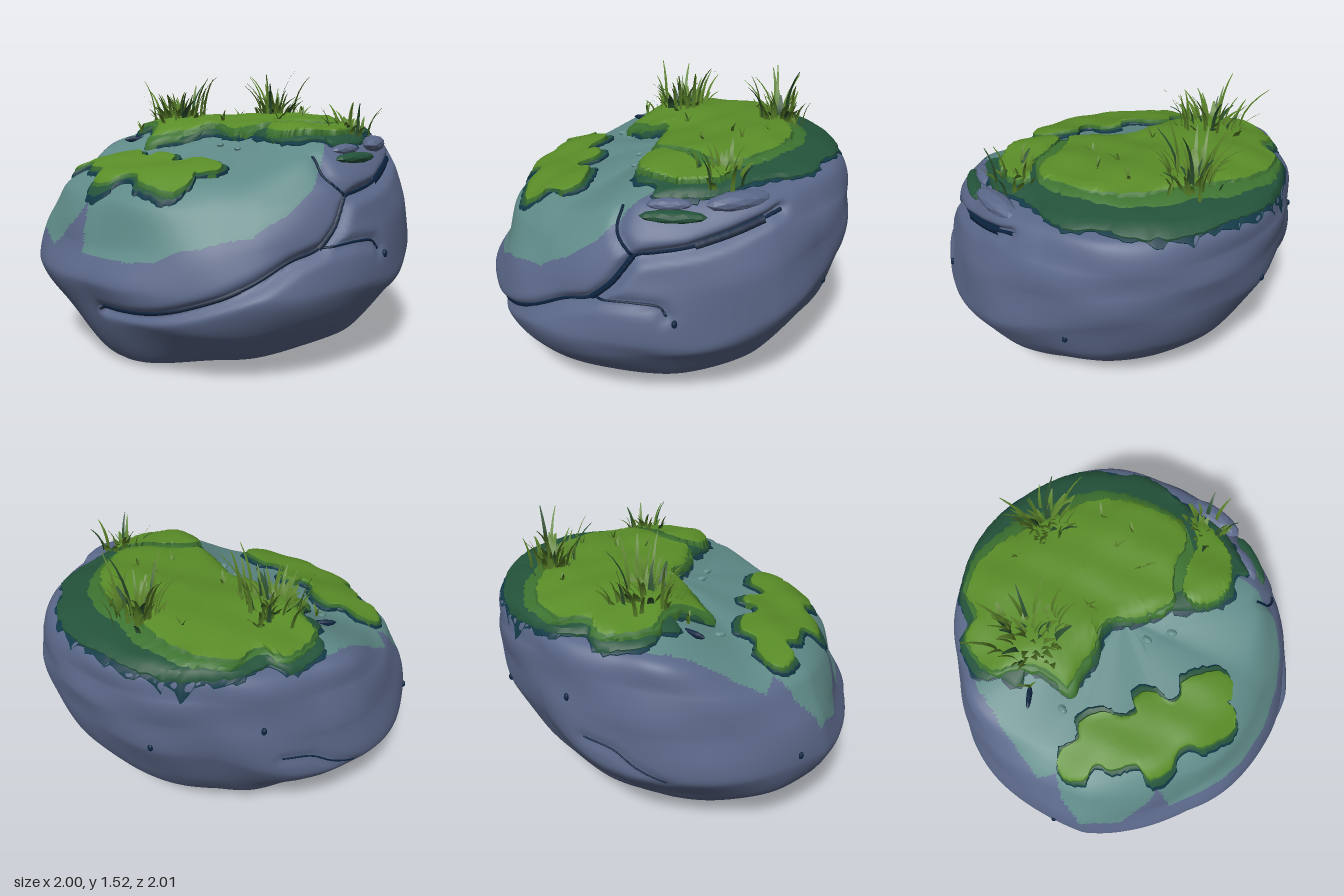
import * as THREE from 'three';
import { mergeGeometries, toCreasedNormals } from 'three/addons/utils/BufferGeometryUtils.js';

const mat = (name, color, side = THREE.FrontSide) => {
  const m = new THREE.MeshStandardMaterial({ color, side });
  m.name = name;
  return m;
};

// small seeded random
let seed = 7;
const rnd = (a = 0, b = 1) => {
  seed = (seed * 16807) % 2147483647;
  return a + (b - a) * (seed / 2147483647);
};

// Half profiles [radius fraction, height] from bottom centre to top centre, at angles from +x towards +z
const PROFILES = [
  { a: 0, p: [[0, .04], [.4, .08], [.72, .23], [.9, .46], [.985, .72], [1, .88], [.985, 1], [.92, 1.14], [.5, 1.19], [0, 1.135]] },
  { a: 90, p: [[0, .04], [.42, .045], [.76, .13], [.95, .36], [1, .46], [.955, .74], [.88, .96], [.74, 1.1], [.4, 1.16], [0, 1.135]] },
  { a: 135, p: [[0, .04], [.4, .025], [.72, .07], [.94, .26], [1, .45], [.93, .66], [.84, .82], [.7, .95], [.4, 1.03], [0, 1.135]] },
  { a: 180, p: [[0, .04], [.45, .01], [.78, .015], [.93, .28], [1, .46], [.92, .62], [.85, .84], [.72, .94], [.4, 1.01], [0, 1.135]] },
  { a: 225, p: [[0, .04], [.4, .025], [.67, .07], [.91, .29], [1, .48], [.95, .7], [.87, .86], [.73, .96], [.4, 1.04], [0, 1.135]] },
  { a: 270, p: [[0, .04], [.35, .02], [.62, .1], [.78, .26], [1, .5], [.98, .75], [.94, .95], [.87, 1.09], [.45, 1.17], [0, 1.135]] },
  { a: 315, p: [[0, .04], [.38, .06], [.68, .18], [.84, .4], [.96, .66], [.985, .86], [.98, 1.01], [.93, 1.13], [.5, 1.18], [0, 1.135]] },
];
PROFILES.push({ a: 360, p: PROFILES[0].p });

// Plan outline of the stone [x, z], ordered from +x towards +z
const PLAN = [[1, 0], [.95, .35], [.8, .6], [.6, .83], [.3, .96], [0, 1], [-.3, .96], [-.6, .83], [-.77, .67], [-.92, .42],
  [-1, 0], [-.98, -.35], [-.9, -.6], [-.6, -.86], [-.17, -1], [.1, -.97], [.35, -.9], [.55, -.77], [.8, -.55], [.95, -.25]]
  .map(([x, z]) => [(Math.atan2(z, x) + 2 * Math.PI) % (2 * Math.PI), Math.hypot(x, z)]);
PLAN.push([2 * Math.PI, 1]);

function planRadius(th) {
  const i = Math.max(1, PLAN.findIndex(q => q[0] >= th));
  const [a, ra] = PLAN[i - 1], [b, rb] = PLAN[i];
  return ra + (rb - ra) * (th - a) / (b - a);
}

function profileAt(p, t) {
  const i = Math.min(8, Math.floor(t)), u = t - i;
  const g = k => p[Math.min(9, Math.max(0, k))];
  return [0, 1].map(c => {
    const a = g(i - 1)[c], b = g(i)[c], d = g(i + 1)[c], e = g(i + 2)[c];
    const m0 = (d - a) * .35, m1 = (e - b) * .35;
    return b + u * m0 + u * u * (3 * (d - b) - 2 * m0 - m1) + u * u * u * (2 * (b - d) + m0 + m1);
  });
}

// Stone surface: angle and profile parameter (0..9) to [radius, height]
function stone(th, t) {
  const deg = th * 180 / Math.PI;
  const i = Math.max(1, PROFILES.findIndex(q => q.a >= deg));
  const A = PROFILES[i - 1], B = PROFILES[i];
  let w = (deg - A.a) / (B.a - A.a);
  w = w * w * (3 - 2 * w);
  const pa = profileAt(A.p, t), pb = profileAt(B.p, t);
  const lump = 1 + .007 * Math.sin(5 * th + 2 * t) * Math.sin(2.3 * t + 1) + .004 * Math.sin(9 * th - 3 * t);
  return [(pa[0] + (pb[0] - pa[0]) * w) * planRadius(th) * lump, pa[1] + (pb[1] - pa[1]) * w];
}

// Height of the upper surface over a plan position
function ground(x, z) {
  const th = (Math.atan2(z, x) + 2 * Math.PI) % (2 * Math.PI), r = Math.hypot(x, z);
  let lo = 4, hi = 9;
  for (let k = 0; k < 22; k++) {
    const m = (lo + hi) / 2;
    if (stone(th, m)[0] > r) lo = m; else hi = m;
  }
  return stone(th, lo)[1];
}

// Cracks as [x, y] lines on the front (side 1) or back (side -1)
const CRACKS = [
  { side: 1, depth: .045, r: .01, pts: [[-.95, .32], [-.8, .41], [-.62, .51], [-.45, .6], [-.3, .65], [-.2, .74], [-.1, .87], [0, .89], [.2, .92], [.36, .96], [.58, 1.04]] },
  { side: 1, depth: .045, r: .015, pts: [[-.95, .32], [-.8, .41], [-.66, .49]] },
  { side: 1, depth: .045, r: .017, pts: [[-.3, .65], [-.2, .74], [-.1, .87]] },
  { side: 1, depth: .05, r: .026, pts: [[.18, .92], [.36, .965], [.5, 1.01]] },
  { side: 1, depth: .025, r: .007, pts: [[-.3, .65], [-.1, .665], [.03, .65], [.06, .61]] },
  { side: 1, depth: .025, r: .008, pts: [[-.16, 1.06], [-.18, .97], [-.1, .87]] },
  { side: -1, depth: .012, r: .005, pts: [[.27, .65], [.12, .62], [0, .55], [-.15, .49]] },
];
function crackPush(x, y, z) {
  let push = 0;
  for (const { side, depth, pts } of CRACKS) {
    if (z * side < .05) continue;
    let d = 9;
    for (let i = 1; i < pts.length; i++) {
      const [ax, ay] = pts[i - 1], [bx, by] = pts[i], ux = bx - ax, uy = by - ay;
      const s = Math.min(1, Math.max(0, ((x - ax) * ux + (y - ay) * uy) / (ux * ux + uy * uy)));
      d = Math.min(d, Math.hypot(x - ax - s * ux, y - ay - s * uy));
    }
    push = Math.max(push, depth * Math.exp(-((d / .03) ** 2)));
  }
  return push;
}

// Weathered area in plan
const PALE = [[-.9, -.2], [-.93, -.4], [-.86, -.6], [-.72, -.64], [-.6, -.62], [-.58, -.72], [-.35, -.78], [-.05, -.84], [.1, -.7], [.1, .6],
  [-.12, .76], [-.27, .82], [-.42, .8], [-.58, .72], [-.76, .56], [-.88, .38], [-.94, .2], [-.95, -.1], [-.86, -.15]];
function inside(x, z, poly) {
  let c = false;
  poly.forEach(([ax, az], i) => {
    const [bx, bz] = poly[(i + 1) % poly.length];
    if ((az > z) !== (bz > z) && x < (bx - ax) * (z - az) / (bz - az) + ax) c = !c;
  });
  return c;
}

function gridGeometry(pos, cols, rows, groupOf) {
  const lists = [[], []];
  for (let j = 0; j < rows - 1; j++) for (let i = 0; i < cols; i++) {
    const n = (i + 1) % cols, a = j * cols + i, b = j * cols + n, c = a + cols, d = b + cols;
    for (const tri of [[a, c, b], [b, c, d]]) lists[groupOf(tri, j)].push(...tri);
  }
  const g = new THREE.BufferGeometry();
  g.setAttribute('position', new THREE.Float32BufferAttribute(pos, 3));
  g.setIndex([...lists[0], ...lists[1]]);
  g.addGroup(0, lists[0].length, 0);
  g.addGroup(lists[0].length, lists[1].length, 1);
  g.computeVertexNormals();
  return g;
}

function stoneGeometry() {
  const cols = 230, rows = 140, pos = [];
  for (let j = 0; j < rows; j++) for (let i = 0; i < cols; i++) {
    const th = i / cols * 2 * Math.PI;
    const [r, y] = stone(th, j / (rows - 1) * 9);
    const q = Math.max(0, r - crackPush(r * Math.cos(th), y, r * Math.sin(th)));
    pos.push(q * Math.cos(th), y, q * Math.sin(th));
  }
  const mid = (tri, k) => tri.reduce((s, v) => s + pos[v * 3 + k], 0) / 3;
  return gridGeometry(pos, cols, rows, tri => (mid(tri, 1) > .58 && inside(mid(tri, 0), mid(tri, 2), PALE) ? 1 : 0));
}

// Moss pad draped over the stone; rings shrink towards a spine at spineX whose z is scaled by spineK
function pad(outline, { spineX, spineK = 0, thick, drop = .03, scale = 1, jag = .008 }) {
  const curve = new THREE.CatmullRomCurve3(outline.map(([x, z]) => new THREE.Vector3(x, 0, z)), true);
  const cols = 150, pts = curve.getSpacedPoints(cols).slice(0, cols);
  const area = pts.reduce((s, p, i) => s + p.x * pts[(i + 1) % cols].z - p.z * pts[(i + 1) % cols].x, 0);
  if (area < 0) pts.reverse();
  const cz = pts.reduce((s, p) => s + p.z, 0) / cols;
  pts.forEach(p => { p.x += rnd(-jag, jag); p.z += rnd(-jag, jag); });
  const rings = [[1, -drop], [1.01, thick * .5], [.96, thick * .92], [.88, thick], [.74, thick], [.6, thick], [.45, thick], [.3, thick], [.15, thick], [0, thick]];
  const pos = [];
  rings.forEach(([k, dy], j) => pts.forEach(p => {
    const sz = cz + (p.z - cz) * spineK, f = k * scale;
    const x = spineX + (p.x - spineX) * f, z = sz + (p.z - sz) * f;
    const bump = j > 2 ? .008 * Math.sin(17 * x + 3 * z) * Math.sin(15 * z) : j === 0 ? rnd(-.015, .01) : 0;
    pos.push(x, ground(x, z) + dy + bump, z);
  }));
  return toCreasedNormals(gridGeometry(pos, cols, rings.length, (tri, j) => (j < 2 ? 0 : 1)), .7);
}

// Curved, tapering grass blade
function blade(x, z, angle, lean, h, w) {
  const pos = [], idx = [], ox = Math.cos(angle), oz = Math.sin(angle), y0 = ground(x, z) + .03;
  for (let i = 0; i <= 5; i++) {
    const s = i / 5, l = lean * s * s, ww = w * (1 - s * .9) * (.7 + s * .8);
    const y = y0 + h * (s - .18 * s * s) / .82;
    for (const e of [-1, 1]) pos.push(x + ox * l - oz * ww * e, y, z + oz * l + ox * ww * e);
    if (i) { const a = i * 2 - 2; idx.push(a, a + 1, a + 2, a + 1, a + 3, a + 2); }
  }
  const g = new THREE.BufferGeometry();
  g.setAttribute('position', new THREE.Float32BufferAttribute(pos, 3));
  g.setIndex(idx);
  g.computeVertexNormals();
  return g;
}

const LEFT = [[-.72, -.5], [-.68, -.58], [-.6, -.61], [-.5, -.56], [-.48, -.45], [-.39, -.42], [-.38, -.29], [-.45, -.2], [-.46, -.12], [-.37, -.1], [-.37, 0],
  [-.48, .08], [-.46, .14], [-.39, .17], [-.38, .26], [-.41, .4], [-.52, .43], [-.58, .36], [-.66, .39], [-.76, .36], [-.8, .25], [-.8, .13], [-.76, .08], [-.78, 0],
  [-.85, -.05], [-.86, -.18], [-.75, -.22], [-.73, -.35], [-.66, -.42]];
const MAIN = [[-.02, -.82], [.2, -.84], [.27, -.77], [.4, -.78], [.55, -.71], [.7, -.6], [.82, -.42], [.88, -.25], [.915, -.1], [.9, .15], [.8, .31], [.74, .45], [.6, .53],
  [.45, .6], [.36, .67], [.25, .72], [.1, .74], [-.02, .74], [0, .67], [-.1, .6], [-.13, .45], [-.1, .34], [-.06, .25], [-.07, .1], [-.04, -.1], [-.16, -.2], [-.21, -.3],
  [-.27, -.4], [-.17, -.5], [-.1, -.58], [-.16, -.64], [-.08, -.7]];
const BRIGHT = [[.08, -.8], [.2, -.81], [.27, -.72], [.42, -.73], [.56, -.62], [.64, -.45], [.66, -.25], [.69, 0], [.67, .15], [.58, .32], [.48, .42], [.35, .51], [.26, .49],
  [.14, .37], [.02, .3], [-.05, .27], [-.06, .1], [-.02, -.1], [-.13, -.21], [-.2, -.32], [-.26, -.41], [-.15, -.48], [-.08, -.6], [-.05, -.74]];
const LOBE = [[-.11, .4], [-.03, .34], [.1, .41], [.24, .54], [.37, .56], [.3, .64], [.15, .68], [.05, .66], [-.07, .59], [-.12, .49]];

export function createModel() {
  const M = {
    rock: mat('slate rock', 0x5a6788), pale: mat('weathered rock', 0x5f8a88), crack: mat('crack navy', 0x0c2440),
    moss: mat('bright moss', 0x5a8d28), mid: mat('mid moss', 0x3d7330), dark: mat('dark moss', 0x24533b), deep: mat('deep teal moss', 0x123a48),
    grass: mat('grass green', 0x587f28, THREE.DoubleSide), shade: mat('shaded grass', 0x2b4f2e, THREE.DoubleSide),
  };
  const root = new THREE.Group();
  root.name = 'mossyBoulder';
  const add = (name, geo, m) => {
    const mesh = new THREE.Mesh(geo, m);
    mesh.name = name;
    root.add(mesh);
    return mesh;
  };

  const boulder = add('boulder', stoneGeometry(), [M.rock, M.pale]);

  // Dark lines lying in the grooves
  const ray = new THREE.Raycaster();
  for (const { side, r, pts } of CRACKS) {
    const line = new THREE.CatmullRomCurve3(pts.map(([x, y]) => new THREE.Vector3(x, y, 0)));
    const hits = line.getSpacedPoints(36).map(p => {
      ray.set(new THREE.Vector3(p.x, p.y, 3 * side), new THREE.Vector3(0, 0, -side));
      return ray.intersectObject(boulder)[0]?.point;
    }).filter(p => p && p.z * side > 0);
    add('crack', new THREE.TubeGeometry(new THREE.CatmullRomCurve3(hits), 72, r, 6), M.crack);
  }

  // Small dark pits: [angle, profile parameter]
  for (const [th, t] of [[.53, 3.6], [5.68, 4.2], [1.47, 4.45], [5.1, 5.2], [3.9, 4.3]]) {
    const [r, y] = stone(th, t);
    const pit = add('pit', new THREE.IcosahedronGeometry(.014, 1), M.crack);
    pit.position.set(r * Math.cos(th), y, r * Math.sin(th));
    pit.scale.y = 1.5;
  }

  // Moss, layered from the dark underside to the bright top
  const big = { spineX: .3, spineK: .6 }, small = { spineX: -.6, spineK: .9 };
  add('mossUnderside', pad(MAIN, { ...big, thick: .012, drop: .04, scale: 1.025, jag: .014 }), [M.deep, M.deep]);
  add('mossRim', pad(MAIN, { ...big, thick: .032 }), [M.dark, M.dark]);
  add('mossSlope', pad(BRIGHT, { spineX: 0, spineK: .95, thick: .045, scale: 1.11 }), [M.mid, M.mid]);
  add('mossCushion', pad(BRIGHT, { ...big, thick: .062 }), [M.mid, M.moss]);
  add('mossLobe', pad(LOBE, { spineX: .1, spineK: .4, thick: .062 }), [M.mid, M.moss]);
  add('sideMossRim', pad(LEFT, { ...small, thick: .02 }), [M.deep, M.dark]);
  add('sideMossCushion', pad(LEFT, { ...small, thick: .04, scale: .85, jag: .004 }), [M.mid, M.moss]);

  // Grass tufts: [x, z, spread, tallest, blades], with tall thin blades and short broad leaves
  for (const [x, z, spread, tall, n] of [[.05, -.49, .18, .29, 64], [.63, -.2, .13, .32, 50], [.3, .6, .12, .2, 24]]) {
    const sets = [[], []];
    for (let i = 0; i < n; i++) {
      const broad = i % 2, a = rnd(0, 6.283), d = spread * rnd(.1, 1);
      const h = tall * (broad ? rnd(.2, .45) : i % 3 ? rnd(.35, .65) : rnd(.6, 1));
      const lean = h * (broad ? rnd(.4, .9) : rnd(.2, .65));
      sets[i % 7 ? 0 : 1].push(blade(x + Math.cos(a) * d, z + Math.sin(a) * d, a + rnd(-.5, .5), lean, h, broad ? rnd(.018, .03) : rnd(.011, .017)));
    }
    add('grassTuft', mergeGeometries(sets[0]), M.grass);
    add('grassTuftShaded', mergeGeometries(sets[1]), M.shade);
  }
  const sprigs = [[-.18, -.58], [.35, .1], [.2, .2], [.4, .22], [.5, -.4], [.1, -.15], [.55, .1], [.7, -.05]]
    .flatMap(([x, z]) => [0, 1, 2].map(() => blade(x, z, rnd(0, 6.28), rnd(.02, .07), rnd(.05, .09), .012)));
  add('sprigs', mergeGeometries(sprigs), M.grass);

  // Slabs, a mossy ledge, a dark sliver and pebbles: [name, x, z, half length, half height, half depth, turn, material]
  for (const [name, x, z, sx, sy, sz, turn, m] of [['slab', .38, .72, .17, .045, .06, .46, M.rock], ['slab', .06, .76, .11, .03, .04, .05, M.rock],
    ['ledgeMoss', .08, .81, .16, .03, .045, 0, M.dark], ['sliver', -.2, -.6, .08, .02, .015, -.46, M.crack],
    ['pebble', -.15, .08, .03, .014, .02, .6, M.pale], ['pebble', -.16, .22, .03, .014, .02, .9, M.pale], ['pebble', -.32, -.47, .035, .014, .02, .3, M.pale]]) {
    const bit = add(name, toCreasedNormals(new THREE.IcosahedronGeometry(1, 1), .3), m);
    bit.scale.set(sx, sy, sz);
    bit.rotation.y = turn;
    bit.position.set(x, ground(x, z), z);
  }
  return root;
}
